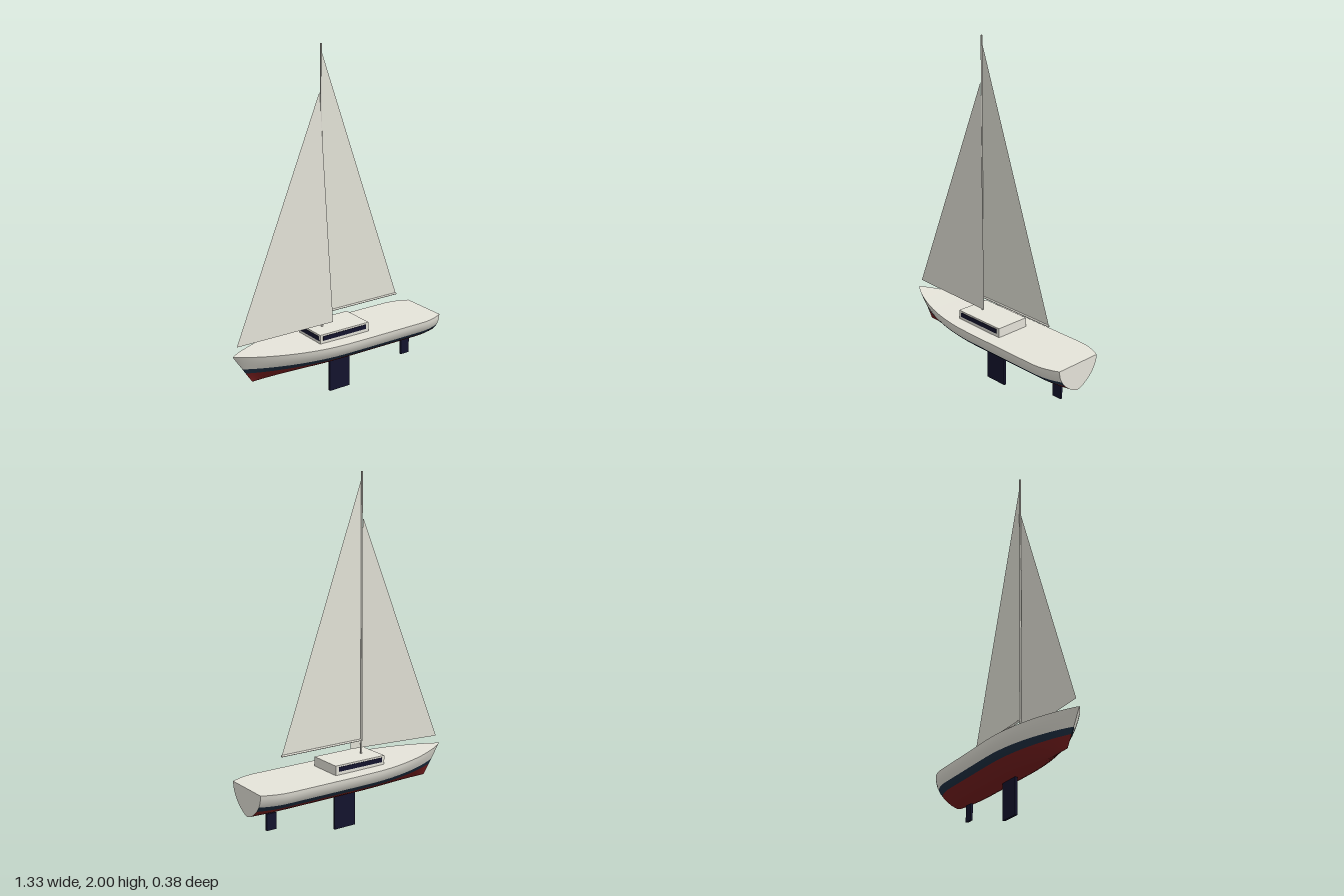
import * as THREE from 'three';

const mat = (name, color, side = THREE.FrontSide) => {
  const m = new THREE.MeshStandardMaterial({ color, side });
  m.name = name;
  return m;
};

// Hull rules: half beam along the deck, sheer of the deck edge
const BOW = -0.667, STERN = 0.667, KEEL_Y = 0.2, STRIPE_TOP = 0.29;
const halfBeam = (x) => {
  if (x < -0.04) {
    const s = (x - BOW) / (-0.04 - BOW);
    return 0.19 * Math.pow(Math.max(0, 1 - (1 - s) ** 2), 0.9);
  }
  return x > 0.5 ? 0.19 - 0.045 * ((x - 0.5) / 0.167) ** 2 : 0.19;
};
const deckY = (x) => 0.36 + 0.015 * Math.max(0, (0.1 - x) / (0.1 - BOW)) ** 1.5;

// Heights of the section rows from the keel up to the stripe, then shares up to the deck
const LOW_ROWS = [0.2, 0.203, 0.208, 0.216, 0.228, 0.244, 0.26, 0.275, 0.29];
const TOP_ROWS = [0.25, 0.5, 0.75, 1];

// Half section at station u, listed from deck edge to keel
function halfSection(u) {
  const xTop = BOW + (STERN - BOW) * u, top = deckY(xTop), beam = halfBeam(xTop);
  const heights = [...LOW_ROWS, ...TOP_ROWS.map((f) => STRIPE_TOP + (top - STRIPE_TOP) * f)];
  return heights.reverse().map((y) => {
    const t = (y - KEEL_Y) / (top - KEEL_Y);
    const stem = -0.55 - 0.117 * (y - KEEL_Y) / 0.175;
    const w = beam * Math.pow(Math.max(0, 1 - (1 - t) ** 2), 0.72);
    return [stem + (STERN - stem) * u, y, w];
  });
}

function surface(points, index) {
  const g = new THREE.BufferGeometry();
  g.setAttribute('position', new THREE.Float32BufferAttribute(points.flat(), 3));
  g.setIndex(index);
  g.computeVertexNormals();
  return g;
}

export function createModel() {
  const boat = new THREE.Group();
  boat.name = 'sailingYacht';
  const white = mat('offWhite', 0xe6e4da);
  const sailCloth = mat('sailCloth', 0xe8e7dc, THREE.DoubleSide);
  const stripe = mat('stripeBlue', 0x1f3044);
  const red = mat('bottomRed', 0x7a1f1f);
  const navy = mat('darkNavy', 0x14142e);

  const add = (name, geometry, material, x = 0, y = 0, z = 0) => {
    const m = new THREE.Mesh(geometry, material);
    m.name = name;
    m.position.set(x, y, z);
    boat.add(m);
    return m;
  };

  // Hull skin: full sections from the left deck edge round the keel to the right one
  const N = 56;
  const sections = [];
  for (let i = 0; i <= N; i++) {
    const half = halfSection((i / N) ** 1.6);
    const other = half.slice(0, -1).reverse().map(([x, y, z]) => [x, y, -z]);
    sections.push([...half, ...other]);
  }
  const M = sections[0].length;
  const index = [], bands = [];
  for (let j = 0; j < M - 1; j++) {
    const k = Math.min(j, M - 2 - j);
    bands.push(k < 4 ? 0 : k < 6 ? 1 : 2);
    for (let i = 0; i < N; i++) {
      const a = i * M + j, c = a + M;
      index.push(a, a + 1, c, c, a + 1, c + 1);
    }
  }
  const skin = surface(sections.flat(), index);
  bands.forEach((b, j) => skin.addGroup(j * N * 6, N * 6, b));
  add('hull', skin, [white, stripe, red]);

  // Deck
  const edge = sections.flatMap((s) => [s[0], s[M - 1]]);
  const deckIndex = [];
  for (let i = 0; i < N; i++) {
    const a = i * 2;
    deckIndex.push(a, a + 2, a + 1, a + 1, a + 2, a + 3);
  }
  add('deck', surface(edge, deckIndex), white);

  // Transom
  const fan = [];
  for (let k = 1; k < M - 1; k++) fan.push(0, k, k + 1);
  add('transom', surface(sections[N], fan), white);

  // Keel and rudder
  add('keel', new THREE.BoxGeometry(0.14, 0.205, 0.014), navy, 0.035, 0.1025, 0);
  add('rudder', new THREE.BoxGeometry(0.06, 0.095, 0.014), navy, 0.52, 0.1425, 0);

  // Cabin with windows on both sides and the front
  add('cabin', new THREE.BoxGeometry(0.335, 0.06, 0.21), white, -0.0025, 0.385, 0);
  for (const s of [1, -1]) {
    add(s > 0 ? 'leftWindow' : 'rightWindow',
      new THREE.BoxGeometry(0.295, 0.026, 0.006), navy, -0.0025, 0.392, s * 0.105);
  }
  add('frontWindow', new THREE.BoxGeometry(0.006, 0.026, 0.19), navy, -0.17, 0.392, 0);

  // Mast and boom
  add('mast', new THREE.CylinderGeometry(0.005, 0.006, 1.59, 10), white, -0.085, 1.205, 0);
  const boom = add('boom', new THREE.CylinderGeometry(0.006, 0.006, 0.532, 10), white, 0.181, 0.496, 0);
  boom.rotation.z = Math.PI / 2;

  // Sails
  const sail = (name, ...corners) => add(name, surface(corners, [0, 1, 2]), sailCloth);
  sail('mainsail', [-0.082, 0.5, 0], [0.445, 0.5, 0], [-0.082, 1.96, 0]);
  sail('jib', [-0.64, 0.425, 0], [-0.033, 0.44, 0.035], [-0.095, 1.75, 0]);

  return boat;
}
